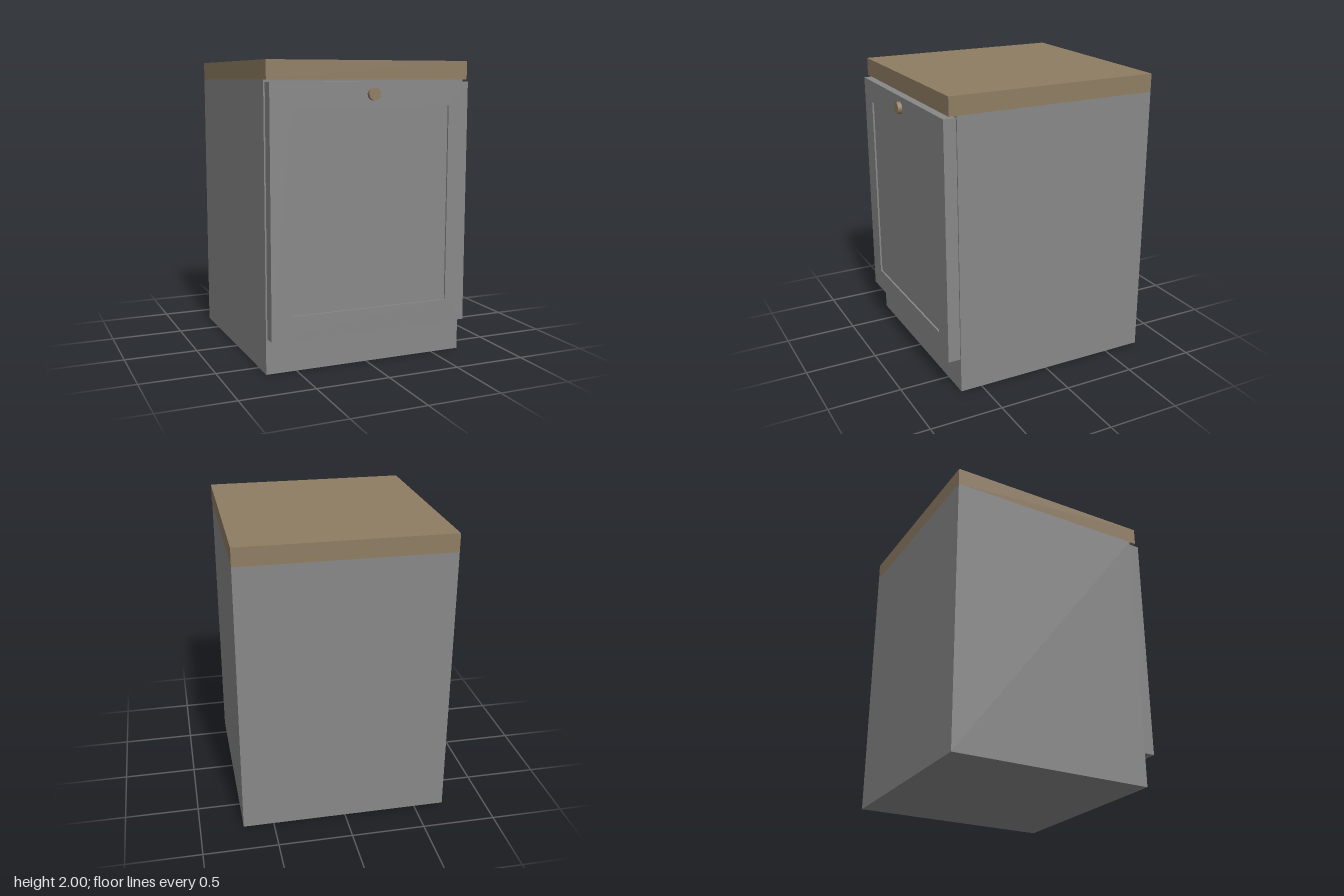
import * as THREE from 'three';

export function createModel() {
  const group = new THREE.Group();
  const grey = new THREE.MeshStandardMaterial({ color: 0x888888 });
  const wood = new THREE.MeshStandardMaterial({ color: 0x8f7d63 });

  const add = (name, geometry, material) => {
    const mesh = new THREE.Mesh(geometry, material);
    mesh.name = name;
    group.add(mesh);
    return mesh;
  };

  // Box given by its lower and upper corners
  const box = (name, [x0, y0, z0], [x1, y1, z1], material) =>
    add(name, new THREE.BoxGeometry(x1 - x0, y1 - y0, z1 - z0), material)
      .position.set((x0 + x1) / 2, (y0 + y1) / 2, (z0 + z1) / 2);

  // Rectangle outline, for the door frame and its opening
  const rect = (PathType, w, y0, y1) => new PathType([
    new THREE.Vector2(-w, y0), new THREE.Vector2(w, y0),
    new THREE.Vector2(w, y1), new THREE.Vector2(-w, y1),
  ]);

  // Carcass and worktop
  box('cabinetBody', [-0.707, 0, -0.763], [0.707, 1.878, 0.65], grey);
  box('worktop', [-0.707, 1.878, -0.763], [0.707, 2, 0.702], wood);

  // Door: a frame around a shallow recessed panel
  const frame = rect(THREE.Shape, 0.697, 0.236, 1.864);
  frame.holes.push(rect(THREE.Path, 0.553, 0.39, 1.708));
  add('doorFrame', new THREE.ExtrudeGeometry(frame, { depth: 0.084, bevelEnabled: false }), grey)
    .position.z = 0.65;
  box('doorPanel', [-0.553, 0.39, 0.65], [0.553, 1.708, 0.722], grey);

  // Round knob on the top rail
  const knob = add('knob', new THREE.CylinderGeometry(0.041, 0.041, 0.03, 16), wood);
  knob.rotation.x = Math.PI / 2;
  knob.position.set(0, 1.787, 0.748);

  return group;
}
